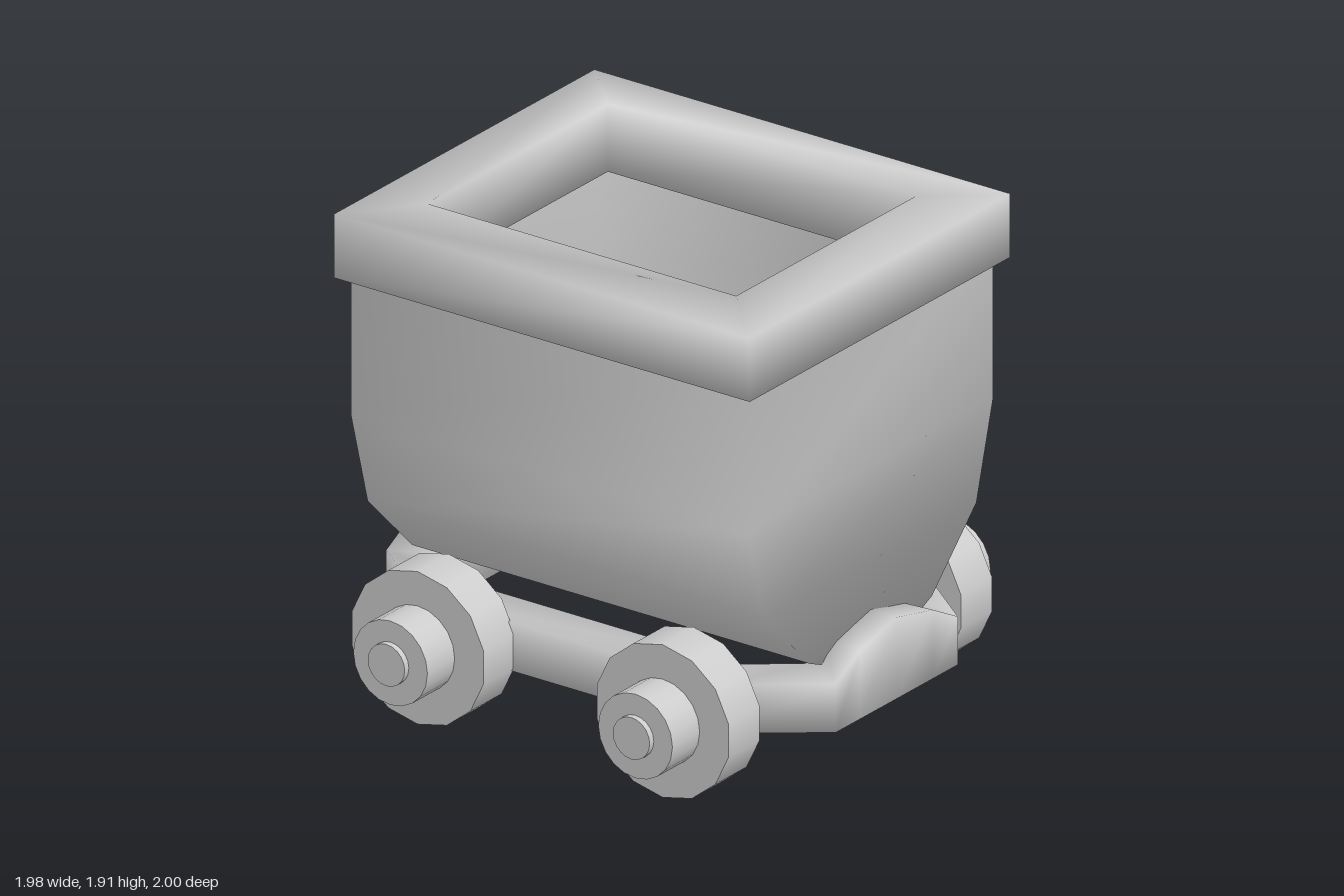
import * as THREE from 'three';

const material = new THREE.MeshStandardMaterial({ color: 0xcccccc });

// Skins a stack of equal-length closed rings with shared, smooth normals.
function loft(name, rings, { closed = false, capFirst = false, capLast = false } = {}) {
  const n = rings[0].length, m = rings.length;
  const index = [];
  for (let i = 0; i < (closed ? m : m - 1); i++) {
    for (let j = 0; j < n; j++) {
      const k = (j + 1) % n, up = (i + 1) % m;
      const a = i * n + j, b = i * n + k, c = up * n + k, d = up * n + j;
      index.push(a, b, c, a, c, d);
    }
  }
  for (let j = 1; j < n - 1; j++) {
    if (capFirst) index.push(0, j + 1, j);
    if (capLast) index.push((m - 1) * n, (m - 1) * n + j, (m - 1) * n + j + 1);
  }
  const geometry = new THREE.BufferGeometry();
  geometry.setAttribute('position', new THREE.Float32BufferAttribute(rings.flat(2), 3));
  geometry.setIndex(index);
  geometry.computeVertexNormals();
  const mesh = new THREE.Mesh(geometry, material);
  mesh.name = name;
  return mesh;
}

// Rectangle ring, counterclockwise from above.
const rect = (x, y, z) => [[x, y, z], [x, y, -z], [-x, y, -z], [-x, y, z]];

// Ring around the chassis from one quarter of its outline: [x, y, z] from centre front to side.
function quarterRing(quarter) {
  const right = [
    ...quarter,
    ...quarter.slice().reverse().map(([x, y, z]) => [x, y, -z]),
  ];
  const left = right.slice(1, -1).reverse().map(([x, y, z]) => [-x, y, z]);
  return [...right, ...left];
}

function buildTub() {
  const tub = new THREE.Group();
  tub.name = 'tub';
  // Half width and height of the tapered cross-section, bottom to top
  const profile = [[0.30, 0.43], [0.37, 0.46], [0.64, 0.73], [0.74, 1.1], [0.74, 1.7]];
  tub.add(loft('tubShell', profile.map(([x, y]) => rect(x, y, 0.885)), { capFirst: true }));

  const inside = profile.slice(1).reverse();
  tub.add(loft('tubLining',
    inside.map(([x, y]) => rect(x - 0.04, y < 1.5 ? y + 0.04 : y, 0.845)), { capLast: true }));

  // Thick square rim with softened shading
  tub.add(loft('rim', [
    rect(0.79, 1.65, 0.925),
    rect(0.79, 1.9, 0.925),
    rect(0.545, 1.915, 0.685),
    rect(0.545, 1.65, 0.685),
  ], { closed: true }));
  return tub;
}

function buildFrame() {
  // Outer and inner outline, with the top humped at both ends
  const outer = [[0, 1], [0.22, 1], [0.37, 1], [0.62, 0.67]];
  const inner = [[0, 0.81], [0.2, 0.81], [0.28, 0.81], [0.43, 0.62]];
  const tops = [0.54, 0.49, 0.41, 0.41];
  const low = (line) => quarterRing(line.map(([x, z]) => [x, 0.22, z]));
  const high = (line) => quarterRing(line.map(([x, z], i) => [x, tops[i], z]));
  return loft('frame', [low(outer), high(outer), high(inner), low(inner)], { closed: true });
}

function buildWheel(side, z) {
  const wheel = new THREE.Group();
  wheel.name = (side > 0 ? 'left' : 'right') + (z > 0 ? 'Front' : 'Back') + 'Wheel';
  // name, radius, inner x, outer x, sides
  const discs = [
    ['tyre', 0.3, 0.61, 0.8, 14],
    ['hub', 0.165, 0.79, 0.965, 20],
    ['axleCap', 0.082, 0.95, 0.99, 20],
  ];
  for (const [name, radius, x0, x1, sides] of discs) {
    const geometry = new THREE.CylinderGeometry(radius, radius, x1 - x0, sides);
    geometry.rotateY(Math.PI / 2).rotateZ(Math.PI / 2);
    const mesh = new THREE.Mesh(geometry, material);
    mesh.name = name;
    mesh.position.set(side * (x0 + x1) / 2, 0.3, z);
    wheel.add(mesh);
  }
  return wheel;
}

export function createModel() {
  const cart = new THREE.Group();
  cart.name = 'mineCart';
  cart.add(buildTub(), buildFrame());
  for (const side of [1, -1]) {
    for (const z of [0.545, -0.545]) cart.add(buildWheel(side, z));
  }
  return cart;
}
